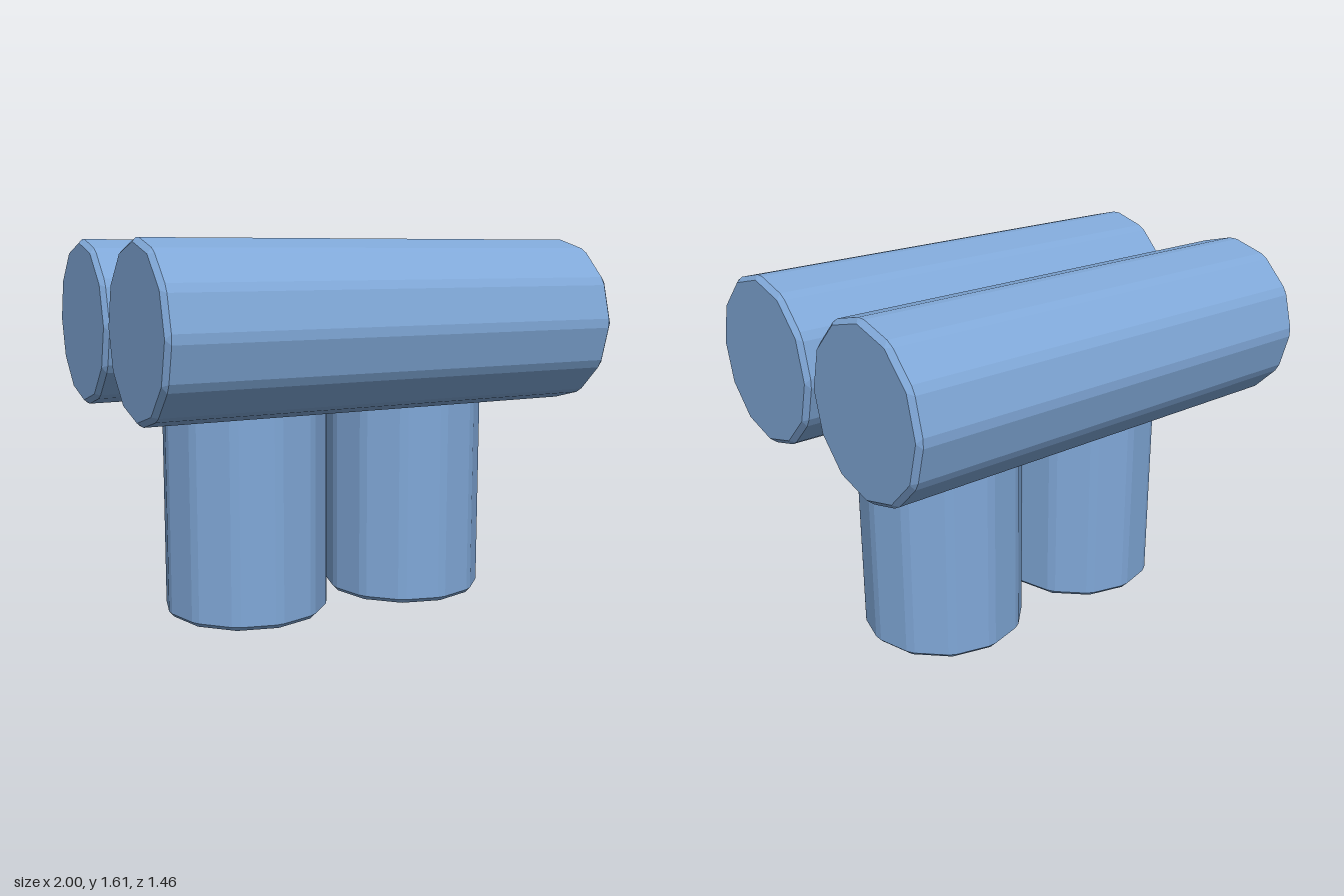
import * as THREE from 'three';
import { ConvexGeometry } from 'three/addons/geometries/ConvexGeometry.js';

const SIDES = 12, RADIUS = 0.36, BEVEL = 0.02;

// Twelve-sided log along y, centred, with every edge chamfered
function logGeometry(length) {
  const points = [];
  const corner = (i, r) => {
    const a = (i / SIDES) * Math.PI * 2;
    return new THREE.Vector3(Math.cos(a) * r, 0, Math.sin(a) * r);
  };
  const side = 2 * RADIUS * Math.sin(Math.PI / SIDES);
  const capRadius = RADIUS - BEVEL / Math.cos(Math.PI / SIDES);
  for (let i = 0; i < SIDES; i++) {
    for (const end of [-1, 1]) {
      // one sharp corner on the cap, two on the wall
      points.push(corner(i, capRadius).setY(end * length / 2));
      for (const next of [-1, 1]) {
        const p = corner(i, RADIUS).lerp(corner(i + next, RADIUS), BEVEL / side);
        points.push(p.setY(end * (length / 2 - BEVEL)));
      }
    }
  }
  return new ConvexGeometry(points);
}

export function createModel() {
  const group = new THREE.Group();
  const material = new THREE.MeshStandardMaterial({ color: 0x80a8d8, flatShading: true });

  const add = (name, geometry, x, y, z) => {
    const mesh = new THREE.Mesh(geometry, material);
    mesh.name = name;
    mesh.position.set(x, y, z);
    group.add(mesh);
    return mesh;
  };

  // Two upright logs side by side
  const upright = logGeometry(1.1);
  add('leftUprightLog', upright, 0.4, 0.55, 0);
  add('rightUprightLog', upright, -0.4, 0.55, 0);

  // Two long logs lying across them
  const lying = logGeometry(2);
  lying.rotateZ(Math.PI / 2);
  add('frontLyingLog', lying, 0, 1.253, 0.375);
  add('backLyingLog', lying, 0, 1.253, -0.375);

  return group;
}
